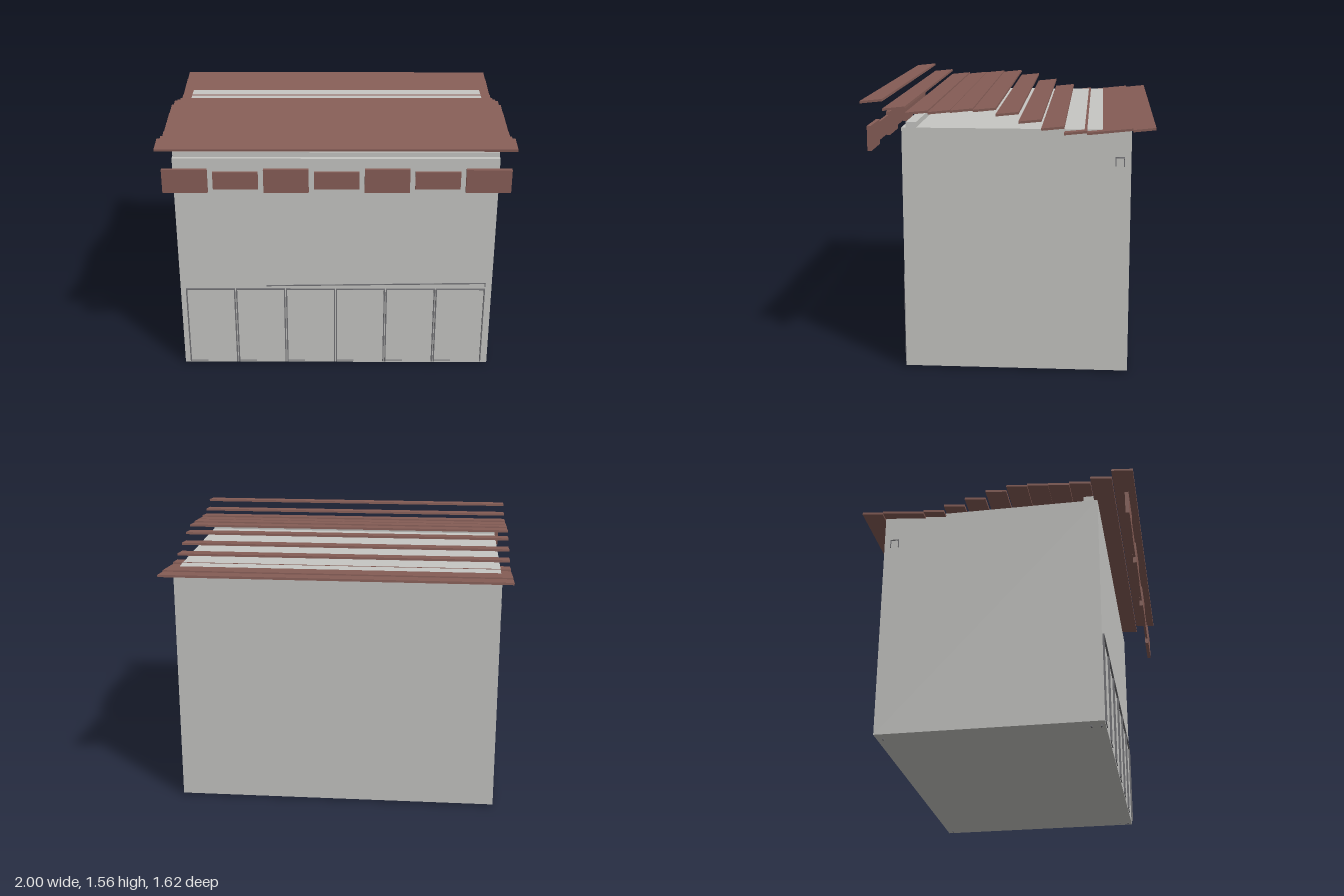
import * as THREE from 'three';

export function createModel() {
  const model = new THREE.Group();
  model.name = 'shed';

  const material = (name, color) => {
    const m = new THREE.MeshStandardMaterial({ color });
    m.name = name;
    return m;
  };
  const wall = material('wall grey', 0xc6c6c3);
  const wood = material('red brown wood', 0x875e57);
  const trim = material('dark grey trim', 0x737377);

  // Box given by its limits on each axis
  const box = (name, mat, x0, x1, y0, y1, z0, z1, parent = model) => {
    const mesh = new THREE.Mesh(new THREE.BoxGeometry(x1 - x0, y1 - y0, z1 - z0), mat);
    mesh.name = name;
    mesh.position.set((x0 + x1) / 2, (y0 + y1) / 2, (z0 + z1) / 2);
    parent.add(mesh);
    return mesh;
  };

  // Main body and the low ridge along its front top edge
  box('body', wall, -0.94, 0.94, 0.01, 1.4, -0.68, 0.592);
  box('topRidge', wall, -0.938, 0.938, 1.4, 1.43, 0.51, 0.568);

  // Feet
  for (const x of [-0.88, 0.88])
    for (const z of [-0.64, 0.515, 0.57])
      box('foot', trim, x - 0.01, x + 0.01, 0, 0.01, z - 0.004, z + 0.004);

  // Roof planks, front to back, each tilted up towards the back
  const heights = [1.552, 1.512, 1.491, 1.495, 1.505, 1.51, 1.488, 1.449, 1.412, 1.3885, 1.391, 1.404, 1.409];
  const roof = new THREE.Group();
  roof.name = 'roof';
  model.add(roof);
  heights.forEach((y, i) => {
    const z = 0.746 - 0.1244 * i;
    const plank = box('roofPlank', wood, -1, 1, y - 0.0065, y + 0.0065, z - 0.0628, z + 0.0628, roof);
    plank.rotation.x = 0.104;
  });

  // Hanging fascia boards, large and small in turn
  for (let i = 0; i < 7; i++) {
    const x = (i - 3) * 0.284 + 0.004;
    if (i % 2 === 0) box('largeFasciaBoard', wood, x - 0.127, x + 0.127, 1.272, 1.413, 0.754, 0.776);
    else box('smallFasciaBoard', wood, x - 0.127, x + 0.127, 1.291, 1.396, 0.758, 0.772);
  }

  // Six front door panels outlined by thin trim
  for (let i = 0; i < 6; i++) {
    const door = new THREE.Group();
    door.name = 'doorPanel';
    model.add(door);
    const x0 = -0.908 + i * 0.3023, x1 = x0 + 0.297;
    box('doorSideTrim', trim, x0, x0 + 0.007, 0.02, 0.543, 0.588, 0.603, door);
    box('doorSideTrim', trim, x1 - 0.007, x1, 0.02, 0.543, 0.588, 0.603, door);
    box('doorTopTrim', trim, x0, x1, 0.537, 0.543, 0.588, 0.603, door);
    box('doorBottomTrim', trim, x0, x0 + 0.11, 0.022, 0.026, 0.588, 0.597, door);
  }

  // Slightly sloping rail above the doors with a short drop at its end
  const rail = box('doorRail', trim, -0.42, 0.902, 0.568, 0.574, 0.585, 0.597);
  rail.rotation.z = 0.013;
  box('doorRailEnd', trim, 0.896, 0.903, 0.555, 0.581, 0.585, 0.597);

  // Small bracket high on each side wall
  for (const s of [-1, 1]) {
    const bracket = new THREE.Group();
    bracket.name = s > 0 ? 'leftBracket' : 'rightBracket';
    model.add(bracket);
    const a = s * 0.94 - 0.004, b = s * 0.94 + 0.004;
    box('bracketTop', trim, a, b, 1.243, 1.249, -0.645, -0.593, bracket);
    box('bracketRearLeg', trim, a, b, 1.196, 1.249, -0.645, -0.64, bracket);
    box('bracketFrontLeg', trim, a, b, 1.196, 1.249, -0.598, -0.593, bracket);
  }

  return model;
}
